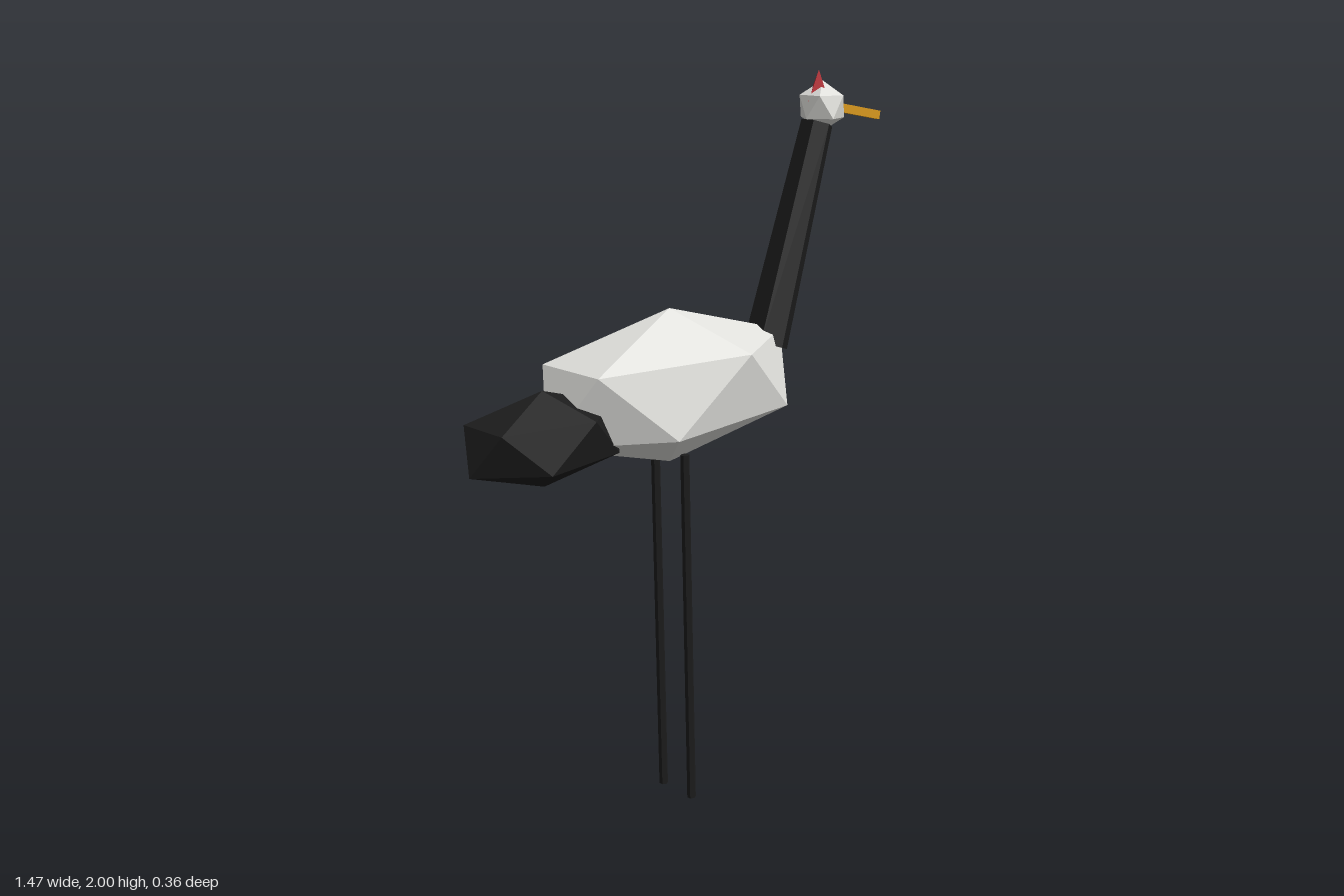
import * as THREE from 'three';

const plumage = new THREE.MeshStandardMaterial({ color: 0xe0e0dc });
const black = new THREE.MeshStandardMaterial({ color: 0x1c1c1c });
const red = new THREE.MeshStandardMaterial({ color: 0xb81c26 });
const gold = new THREE.MeshStandardMaterial({ color: 0xd8981e });
plumage.name = 'white plumage';
black.name = 'black plumage';
red.name = 'crest red';
gold.name = 'beak gold';

// Gives every face its own flat normals
function faceted(geometry) {
  const flat = geometry.index ? geometry.toNonIndexed() : geometry;
  flat.computeVertexNormals();
  return flat;
}

function part(name, geometry, material) {
  const mesh = new THREE.Mesh(faceted(geometry), material);
  mesh.name = name;
  return mesh;
}

// Stretched icosahedron standing on one corner
function gem(name, material, center, radii) {
  const geometry = new THREE.IcosahedronGeometry(1, 0);
  geometry.rotateZ(-Math.atan(2 / (1 + Math.sqrt(5))));
  geometry.scale(...radii);
  const mesh = part(name, geometry, material);
  mesh.position.set(...center);
  return mesh;
}

// Places a y-aligned geometry between two points
function span(name, material, from, to, makeGeometry) {
  const a = new THREE.Vector3(...from);
  const b = new THREE.Vector3(...to);
  const direction = b.clone().sub(a);
  const mesh = part(name, makeGeometry(direction.length()), material);
  mesh.position.copy(a).add(b).multiplyScalar(0.5);
  mesh.quaternion.setFromUnitVectors(new THREE.Vector3(0, 1, 0), direction.normalize());
  return mesh;
}

export function createModel() {
  const bird = new THREE.Group();
  bird.name = 'wadingBird';

  // Body, tail and head
  bird.add(gem('body', plumage, [-0.08, 1.2, 0], [0.47, 0.21, 0.21]));
  bird.add(gem('tail', black, [-0.51, 1.135, 0], [0.257, 0.125, 0.147]));
  bird.add(gem('head', plumage, [0.495, 1.9, 0], [0.07, 0.07, 0.072]));

  // Tapered six-sided neck
  bird.add(span('neck', black, [0.284, 1.257, 0], [0.476, 1.855, 0],
    (h) => new THREE.CylinderGeometry(0.046, 0.064, h, 6)));

  // Four-sided crest
  const crest = part('crest', new THREE.ConeGeometry(0.04, 0.085, 4), red);
  crest.position.set(0.48, 1.957, 0);
  bird.add(crest);

  // Long straight beak
  bird.add(span('beak', gold, [0.5, 1.904, 0], [0.73, 1.862, 0],
    (h) => new THREE.BoxGeometry(0.024, h, 0.02)));

  // Thin legs
  for (const side of [1, -1]) {
    bird.add(span(side > 0 ? 'nearLeg' : 'farLeg', black,
      [-0.055, 0, side * 0.059], [-0.08, 1.02, side * 0.059],
      (h) => new THREE.CylinderGeometry(0.0125, 0.0125, h, 6)));
  }
  return bird;
}
